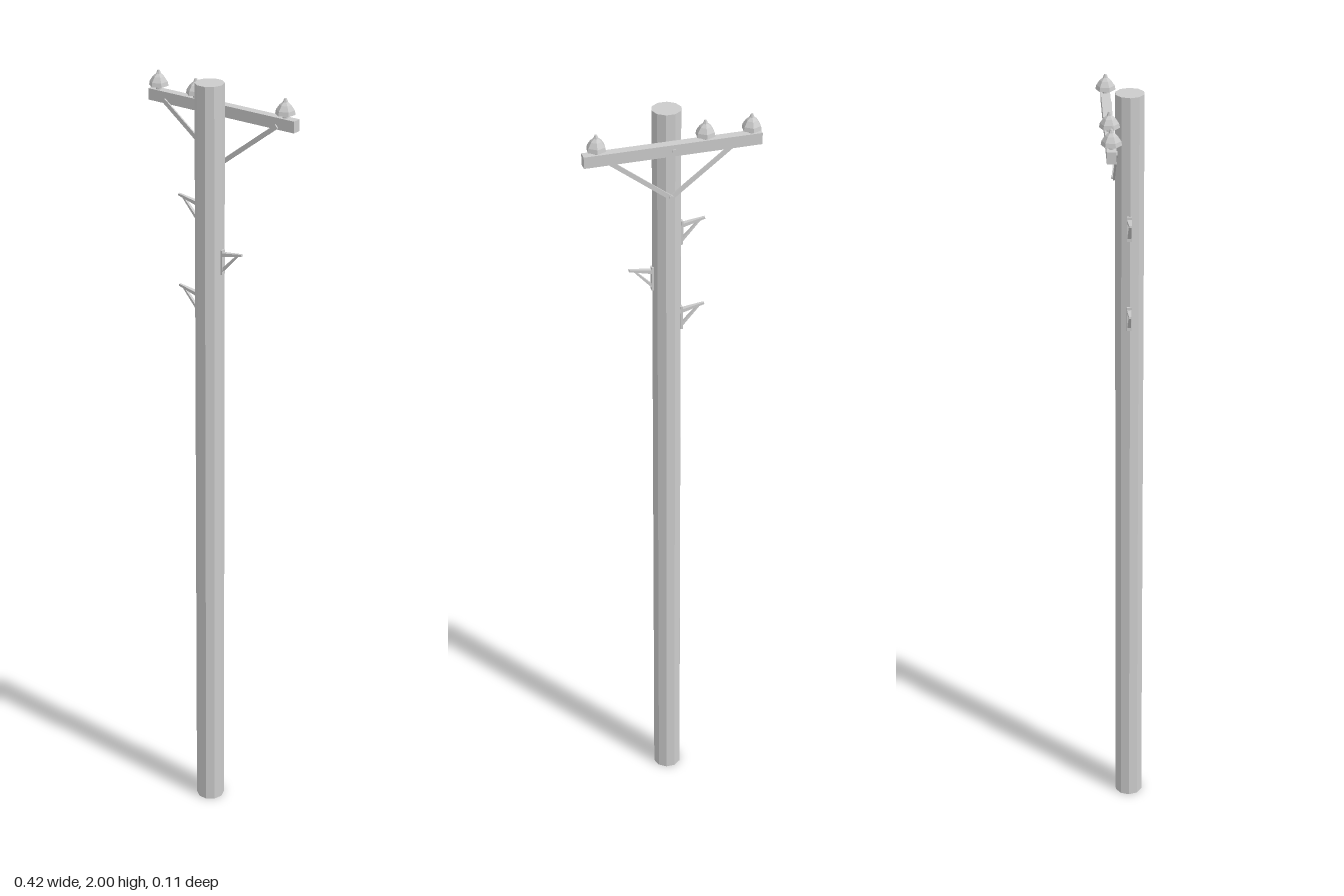
import * as THREE from 'three';

const mat = new THREE.MeshStandardMaterial({ color: 0xcccccc, flatShading: true });
const POLE_Z = 0.0195, ARM_Z = -0.03;

function add(parent, name, geometry, x = 0, y = 0, z = 0) {
  const mesh = new THREE.Mesh(geometry, mat);
  mesh.name = name;
  mesh.position.set(x, y, z);
  parent.add(mesh);
  return mesh;
}

// Flat bar between two points in an x-y plane, optionally narrowing to its end
function bar(parent, name, [x1, y1], [x2, y2], z, height, depth, taper = 1) {
  const geo = new THREE.BoxGeometry(Math.hypot(x2 - x1, y2 - y1), height, depth);
  const p = geo.attributes.position;
  for (let i = 0; i < p.count; i++) {
    if (p.getX(i) > 0) p.setXYZ(i, p.getX(i), p.getY(i) * taper, p.getZ(i) * taper);
  }
  const mesh = add(parent, name, geo, (x1 + x2) / 2, (y1 + y2) / 2, z);
  mesh.rotation.z = Math.atan2(y2 - y1, x2 - x1);
  return mesh;
}

export function createModel() {
  const model = new THREE.Group();
  model.name = 'utilityPole';

  // Ten-sided pole with a slight taper
  const pole = new THREE.CylinderGeometry(0.035, 0.037, 2, 10);
  pole.rotateY(Math.PI / 10);
  add(model, 'pole', pole, 0, 1, POLE_Z);

  // Cross-arm on the back of the pole, with its bolt
  add(model, 'crossArm', new THREE.BoxGeometry(0.42, 0.028, 0.022), 0, 1.924, ARM_Z);
  const bolt = new THREE.CylinderGeometry(0.005, 0.005, 0.008, 6);
  bolt.rotateX(Math.PI / 2);
  add(model, 'armBolt', bolt, 0, 1.924, -0.041);
  add(model, 'braceBolt', bolt, 0, 1.796, -0.02);

  // Diagonal braces below the cross-arm
  for (const s of [-1, 1]) {
    bar(model, 'brace', [0, 1.793], [s * 0.163, 1.918], -0.0175, 0.011, 0.004);
  }

  // Six-sided bell insulators on pins
  const profile = [
    [0, 1.936], [0.007, 1.936], [0.007, 1.949], [0.024, 1.947], [0.022, 1.957],
    [0.014, 1.969], [0.006, 1.976], [0.003, 1.984], [0, 1.985],
  ].map(([r, y]) => new THREE.Vector2(r, y));
  for (const x of [-0.187, -0.077, 0.178]) {
    const insulator = add(model, 'insulator', new THREE.LatheGeometry(profile, 6), x, 0, ARM_Z);
    insulator.rotation.y = Math.PI - 0.13;
  }

  // Climbing steps, each a tapered peg with a diagonal strut
  for (const [s, y] of [[-1, 1.7], [1, 1.587], [-1, 1.467]]) {
    const step = new THREE.Group();
    step.name = 'climbingStep';
    bar(step, 'stepPeg', [s * 0.03, y - 0.003], [s * 0.093, y + 0.009], 0.0175, 0.01, 0.012, 0.5);
    bar(step, 'stepStrut', [s * 0.032, y - 0.046], [s * 0.08, y + 0.005], 0.0175, 0.007, 0.009, 0.6);
    add(step, 'stepPlate', new THREE.BoxGeometry(0.005, 0.062, 0.012), s * 0.036, y - 0.021, 0.0175);
    model.add(step);
  }

  return model;
}
